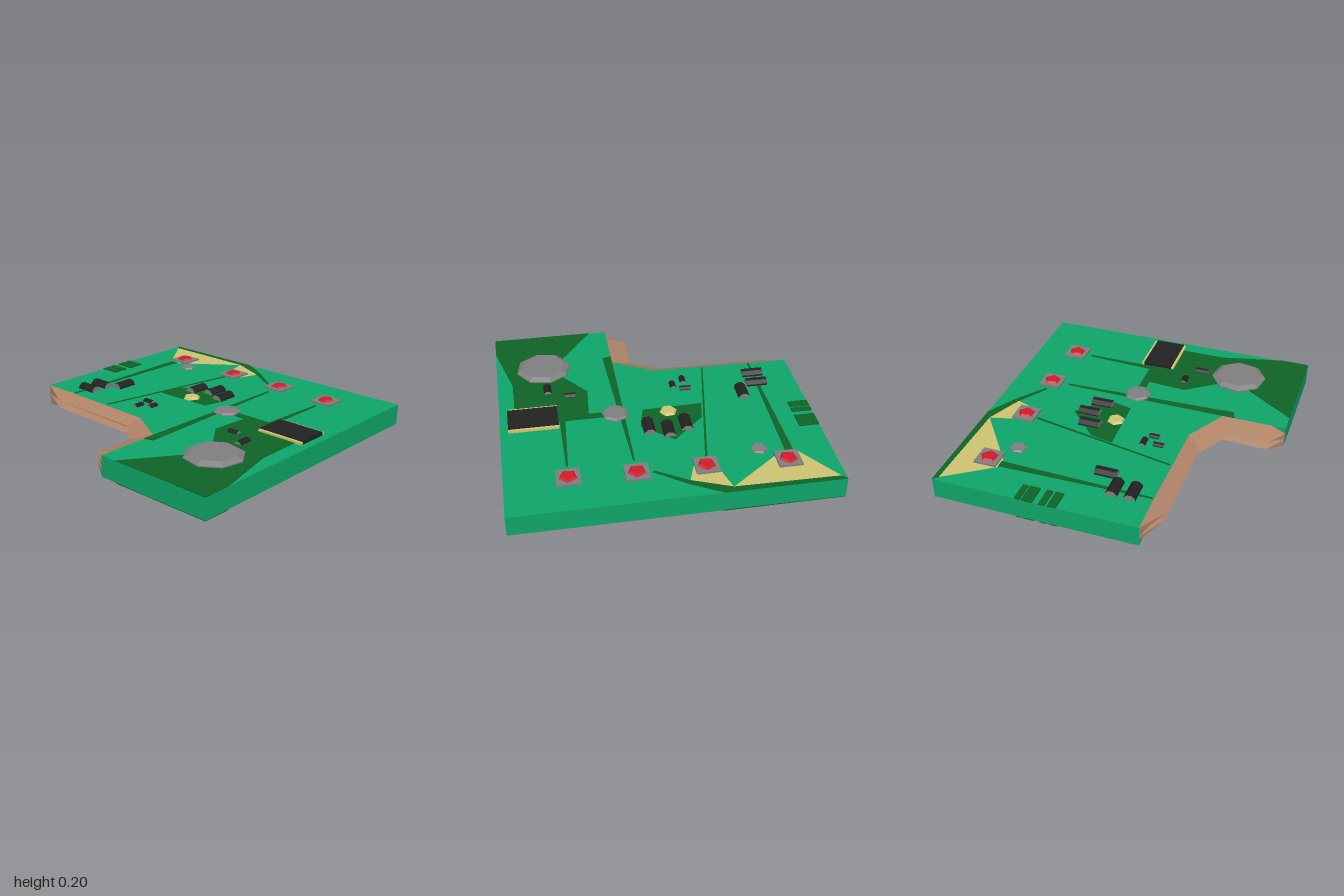
import * as THREE from 'three';

const BOTTOM = 0.04, TOP = 0.175, MID = (BOTTOM + TOP) / 2;

const paint = (color) => new THREE.MeshStandardMaterial({ color, flatShading: true });
const green = paint(0x0fa66a), darkGreen = paint(0x0e6426), copper = paint(0xb08468),
  gold = paint(0xcfc573), black = paint(0x222222), grey = paint(0x808080), red = paint(0xd01c2a);

// Flat plate from an outline of [x, z] points, reaching from y0 up to y1
function plate(points, y0, y1) {
  const shape = new THREE.Shape(points.map(([x, z]) => new THREE.Vector2(x, z)));
  return new THREE.ExtrudeGeometry(shape, { depth: y1 - y0, bevelEnabled: false })
    .rotateX(Math.PI / 2).translate(0, y1, 0);
}

const block = (x, z, w, d, y0, y1) =>
  new THREE.BoxGeometry(w, y1 - y0, d).translate(x, (y0 + y1) / 2, z);

const rect = (x0, z0, x1, z1) => [[x0, z0], [x1, z0], [x1, z1], [x0, z1]];

// Copy for the underside: reflect about the board's middle and restore the winding
function underside(geometry) {
  const g = geometry.index ? geometry.toNonIndexed() : geometry.clone();
  g.scale(1, -1, 1).translate(0, 2 * MID, 0);
  const p = g.attributes.position, a = new THREE.Vector3(), b = new THREE.Vector3();
  for (let i = 0; i < p.count; i += 3) {
    a.fromBufferAttribute(p, i + 1);
    b.fromBufferAttribute(p, i + 2);
    p.setXYZ(i + 1, b.x, b.y, b.z);
    p.setXYZ(i + 2, a.x, a.y, a.z);
  }
  g.computeVertexNormals();
  return g;
}

// Broken edge: two ridges with a groove between, swept along the missing corner
function brokenEdge() {
  const inner = [[-1, 0.36], [-0.8, 0.36], [-0.07, 0.38], [0.2, 0.53], [0.2, 0.86], [0.2, 0.95]];
  const outer = [[-1, 0.36], [-0.79, 0.45], [-0.12, 0.46], [0.07, 0.57], [0.06, 0.86], [0.2, 0.95]];
  const section = [[TOP, 0], [0.132, 1], [MID, 0.55], [0.083, 1], [BOTTOM, 0]];
  const pos = [], index = [], n = section.length;
  inner.forEach(([x, z], i) => section.forEach(([y, t]) =>
    pos.push(x + (outer[i][0] - x) * t, y, z + (outer[i][1] - z) * t)));
  for (let i = 0; i < inner.length - 1; i++) {
    for (let j = 0; j < n - 1; j++) {
      const a = i * n + j, b = a + 1, c = b + n, d = a + n;
      index.push(a, b, c, a, c, d);
    }
  }
  const g = new THREE.BufferGeometry();
  g.setAttribute('position', new THREE.Float32BufferAttribute(pos, 3));
  g.setIndex(index);
  g.computeVertexNormals();
  return g;
}

export function createModel() {
  const model = new THREE.Group();
  model.name = 'circuitBoard';
  const add = (name, geometry, material) => {
    const mesh = new THREE.Mesh(geometry, material);
    mesh.name = name;
    model.add(mesh);
  };
  const addBoth = (name, geometry, material) => {
    add(name, geometry, material);
    add(name + 'Underside', underside(geometry), material);
  };

  // Board with its broken corner
  add('board', plate([[-1, -0.95], [1, -0.95], [1, 0.95], [0.2, 0.95], [0.2, 0.53],
    [-0.07, 0.38], [-0.8, 0.36], [-1, 0.36]], BOTTOM, TOP), green);
  add('brokenEdge', brokenEdge(), copper);

  // Gold patches in the back corner
  [
    [[-0.97, -0.92], [-0.32, -0.91], [-0.69, -0.63], [-0.77, -0.63]],
    [[-0.32, -0.91], [-0.08, -0.82], [-0.13, -0.68], [-0.27, -0.72]],
  ].forEach((p) => addBoth('goldPatch', plate(p, 0.172, 0.177), gold));

  // Dark conductive traces and fields
  [
    [[-1, -0.95], [-0.26, -0.95], [-0.07, -0.84], [0.12, -0.7], [0.11, -0.69], [-0.08, -0.81],
      [-0.32, -0.91], [-0.97, -0.92]],
    [[-0.76, -0.63], [-0.71, -0.63], [-0.73, 0.355], [-0.74, 0.355]],
    [[-0.23, -0.61], [-0.215, -0.61], [-0.4, 0.355], [-0.41, 0.355]],
    [[-0.28, -0.21], [-0.07, -0.41], [0.12, -0.24], [0.08, -0.07], [-0.31, -0.06]],
    [[0.208, -0.57], [0.22, -0.57], [0.26, 0.59], [0.2, 0.61]],
    [[0.61, -0.56], [0.622, -0.56], [0.622, -0.1], [0.585, -0.1]],
    [[0.3, -0.105], [0.63, -0.105], [0.9, 0.05], [0.9, 0.35], [1, 0.77], [1, 0.95], [0.32, 0.95],
      [0.55, 0.62], [0.56, 0.4], [0.41, 0.2], [0.43, -0.055], [0.3, -0.055]],
  ].forEach((p) => addBoth('trace', plate(p, 0.172, 0.179), darkGreen));

  // Ribbed contacts on the right edge
  [[-0.41, -0.375], [-0.365, -0.295], [-0.255, -0.215], [-0.2, -0.145]].forEach(([z0, z1]) =>
    addBoth('edgeContact', plate(rect(-1, z0, -0.87, z1), 0.172, 0.182), darkGreen));

  // Lamps: square pads, red lenses on top only
  [[-0.705, -0.715], [-0.205, -0.695], [0.215, -0.69], [0.62, -0.67]].forEach(([x, z]) => {
    addBoth('lampPad', block(x, z, 0.147, 0.147, 0.172, 0.188), grey);
    const lens = new THREE.CylinderGeometry(0.045, 0.06, 0.014, 5)
      .rotateY(0.5).translate(x, 0.193, z);
    add('lampLens', lens, red);
  });

  // Resistors: faceted barrels with grey ends [x, z, length, radius, lies along x]
  [
    [-0.605, 0.02, 0.14, 0.04, false], [-0.725, 0.115, 0.14, 0.04, true],
    [-0.725, 0.23, 0.14, 0.04, true], [-0.165, -0.262, 0.14, 0.04, false],
    [-0.045, -0.31, 0.14, 0.04, false], [0.073, -0.262, 0.14, 0.04, false],
    [-0.24, 0.13, 0.075, 0.022, true], [-0.163, 0.178, 0.07, 0.022, false],
    [-0.24, 0.23, 0.07, 0.022, false], [0.53, 0.17, 0.075, 0.024, true],
    [0.672, 0.257, 0.095, 0.028, false],
  ].forEach(([x, z, length, r, alongX]) => {
    const barrel = new THREE.CylinderGeometry(r, r, length, 8).rotateY(Math.PI / 8);
    if (alongX) barrel.rotateZ(Math.PI / 2);
    else barrel.rotateX(Math.PI / 2);
    addBoth('resistor', barrel.translate(x, TOP - 0.003, z), [black, grey, grey]);
  });

  // Large chip with a gold pin strip along each long side
  addBoth('chip', block(0.788, -0.06, 0.32, 0.2, 0.172, 0.198), black);
  [-0.168, 0.048].forEach((z) =>
    addBoth('chipPins', block(0.788, z, 0.32, 0.018, 0.172, 0.192), gold));

  // Round faceted capacitors [x, z, base radius, top radius, top y, sides, turn]
  [
    [0.68, 0.52, 0.185, 0.15, 0.207, 8, 0.2, grey, 'capacitor'],
    [0.26, -0.08, 0.09, 0.075, 0.192, 7, 0.4, grey, 'smallCapacitor'],
    [-0.555, -0.59, 0.055, 0.045, 0.19, 6, 0.3, grey, 'smallCapacitor'],
    [-0.08, -0.115, 0.058, 0.046, 0.194, 6, 0.6, gold, 'crystal'],
  ].forEach(([x, z, r0, r1, y1, sides, turn, material, name]) => {
    const h = y1 - 0.172;
    const waist = new THREE.LatheGeometry([[0, 0], [r0, 0], [r0, h * 0.4], [r1, h], [0, h]]
      .map(([r, y]) => new THREE.Vector2(r, y)), sides);
    addBoth(name, waist.rotateY(turn).translate(x, 0.172, z), material);
  });

  // Stand the lowest point on the ground and centre the width and depth
  const box = new THREE.Box3().setFromObject(model);
  const centre = box.getCenter(new THREE.Vector3());
  model.children.forEach((m) => m.position.set(-centre.x, -box.min.y, -centre.z));
  return model;
}
